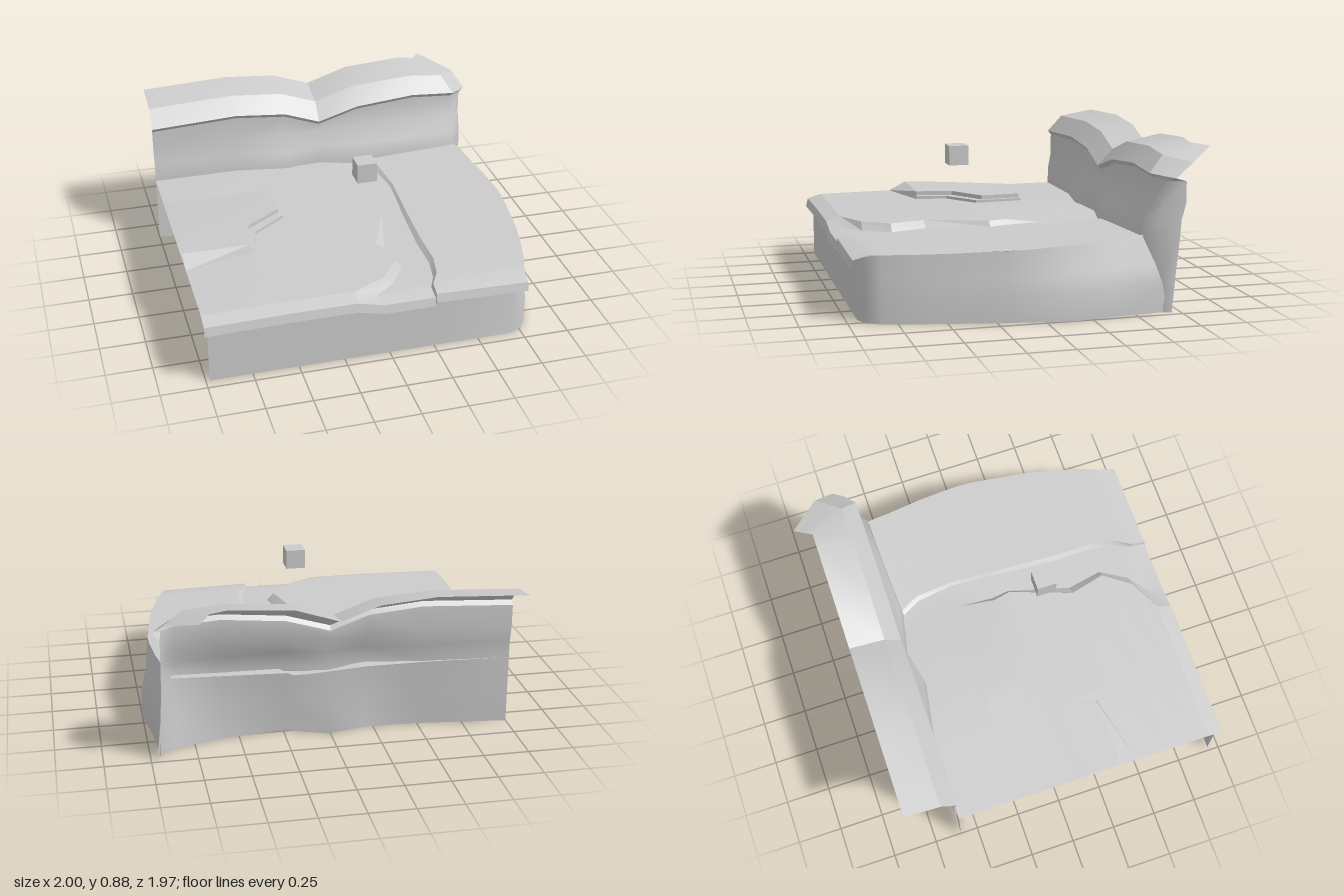
import * as THREE from 'three';
import { toCreasedNormals } from 'three/addons/utils/BufferGeometryUtils.js';

const material = new THREE.MeshStandardMaterial({ color: 0xcccccc, side: THREE.DoubleSide });

// Skins a sheet over rows of equal length, each row a list of [x, y, z]
function sheet(name, rows, crease) {
  const n = rows[0].length;
  const index = [];
  for (let r = 0; r < rows.length - 1; r++) {
    for (let c = 0; c < n - 1; c++) {
      const a = r * n + c, b = a + 1, d = a + n, e = d + 1;
      index.push(a, d, b, b, d, e);
    }
  }
  const geometry = new THREE.BufferGeometry();
  geometry.setAttribute('position', new THREE.Float32BufferAttribute(rows.flat(2), 3));
  geometry.setIndex(index);
  const mesh = new THREE.Mesh(toCreasedNormals(geometry, crease), material);
  mesh.name = name;
  return mesh;
}

// Lower plateau with a shallow channel running to the front
function lowerGround() {
  // z, left height, channel left top/bottom x, floor y, right bottom/top x, right y, edge x, edge y
  const sections = [
    [-0.6, 0.395, -0.2, 0.12, 0.375, 0.21, 0.24, 0.39, 0.87, 0.41],
    [-0.42, 0.395, 0.0, 0.2, 0.37, 0.31, 0.335, 0.388, 0.89, 0.399],
    [-0.2, 0.392, 0.08, 0.2, 0.37, 0.34, 0.355, 0.383, 0.92, 0.389],
    [0, 0.39, 0.165, 0.19, 0.362, 0.33, 0.345, 0.378, 0.935, 0.382],
    [0.1, 0.39, 0.185, 0.205, 0.358, 0.32, 0.34, 0.376, 0.935, 0.378],
    [0.45, 0.388, 0.06, 0.11, 0.35, 0.3, 0.325, 0.373, 0.89, 0.37],
    [0.65, 0.387, 0.11, 0.15, 0.345, 0.305, 0.33, 0.368, 0.845, 0.365],
    [0.8, 0.386, 0, 0.06, 0.342, 0.28, 0.3, 0.366, 0.805, 0.362],
    [0.89, 0.385, -0.18, -0.06, 0.342, 0.24, 0.25, 0.364, 0.77, 0.358],
    [0.97, 0.36, -0.19, -0.04, 0.325, 0.24, 0.245, 0.346, 0.76, 0.335],
  ];
  const rows = sections.map(([z, yl, xa, xb, yf, xc, xd, yr, xe, ye]) => [
    [-1, yl - 0.01, z], [-0.55, yl, z], [xa, yl, z], [xb, yf, z],
    [xc, yf, z], [xd, yr, z], [(xd + xe) / 2, (yr + ye) / 2, z], [xe, ye, z],
  ]);
  // Drooping front lip
  rows.push(rows.at(-1).map(([x, y, z]) => [x, y - 0.048, z + 0.012]));
  return sheet('lowerGround', rows, 0.25);
}

// Front cliff, turning the corner and flaring along the side: [topX, topZ, topY, bottomX, bottomZ]
function lowerCliff() {
  const path = [
    [-0.98, 0.94, 0.35, -0.98, 0.94], [-0.2, 0.94, 0.35, -0.2, 0.94],
    [-0.04, 0.94, 0.32, -0.04, 0.94], [0.24, 0.94, 0.32, 0.24, 0.94],
    [0.68, 0.94, 0.335, 0.69, 0.94], [0.745, 0.915, 0.345, 0.765, 0.905], [0.785, 0.83, 0.357, 0.81, 0.83],
    [0.835, 0.65, 0.364, 0.86, 0.62], [0.925, 0.2, 0.374, 0.945, 0.2],
    [0.92, -0.12, 0.385, 1, -0.15], [0.89, -0.4, 0.398, 0.965, -0.4],
    [0.87, -0.56, 0.41, 0.945, -0.68],
  ];
  const rows = [1, 0.62, 0.38, 0].map((t) => path.map(([tx, tz, ty, bx, bz]) => {
    const k = Math.max(0, (t - 0.38) / 0.62);
    return [bx + (tx - bx) * k, ty * t, bz + (tz - bz) * (0.35 * t + 0.65 * t * t)];
  }));
  return sheet('lowerCliff', rows, 1);
}

// Shared columns of the upper lip and back cliff
// x, lip front y, lip middle y, lip rear y, wall z at bottom, ground level and top
const columns = [
  [-1, 0.725, 0.82, 0.855, -0.6, -0.6, -0.62],
  [-0.5, 0.752, 0.845, 0.88, -0.54, -0.585, -0.62],
  [-0.2, 0.725, 0.82, 0.855, -0.53, -0.535, -0.62],
  [0.01, 0.65, 0.745, 0.78, -0.58, -0.58, -0.62],
  [0.25, 0.722, 0.82, 0.86, -0.49, -0.53, -0.62],
  [0.6, 0.755, 0.845, 0.885, -0.53, -0.545, -0.62],
  [0.85, 0.738, 0.825, 0.87, -0.6, -0.55, -0.62],
  [0.92, 0.73, 0.81, 0.862, -0.66, -0.625, -0.66],
  [0.935, 0.722, 0.795, 0.855, -0.7, -0.75, -0.78],
];

function backCliff() {
  const level = (y, z) => columns.map((c, i) => [
    c[0] + (i > 6 ? 0.03 * Math.max(0, 1 - y / 0.3) : 0), Math.min(y, c[1] - 0.024), z(c)]);
  const rows = [
    level(9, (c) => c[6]),
    level(0.58, (c) => c[6]),
    level(0.49, (c) => c[6] * 0.2 + c[5] * 0.8),
    level(0.4, (c) => c[5]),
    level(0.2, (c) => (c[4] + c[5]) / 2),
    level(0, (c) => c[4]),
  ];
  return sheet('backCliff', rows, 1);
}

function upperLip() {
  // The last columns turn backwards round the corner
  const row = (k, z, corner) => columns.map((c, i) => (
    i < 6 ? [c[0], c[k], z] : [corner[i - 6][0], c[k], corner[i - 6][1]]));
  const rows = [
    row(3, -0.89, [[0.69, -0.89], [0.72, -0.94], [0.75, -0.985]]),
    row(2, -0.69, [[0.81, -0.69], [0.865, -0.755], [0.92, -0.82]]),
    row(1, -0.6, [[0.86, -0.6], [0.925, -0.655], [0.965, -0.71]]),
    columns.map((c) => [c[0], c[1] - 0.024, c[6]]),
  ];
  return sheet('upperLip', rows, 0.3);
}

// Stepped rock shelf that sinks into the ground towards the rear left
function rockShelf() {
  // z, left y, top edge x, step edge x, step edge z
  const rows = [
    [-0.31, 0.388, -0.4, -0.375, -0.24], [0, 0.41, -0.39, -0.37, 0.04],
    [0.14, 0.42, -0.59, -0.56, 0.18], [0.35, 0.43, -0.63, -0.6, 0.35],
  ].map(([z, y, top, step, stepZ]) => [
    [-1, y, z], [top, 0.43, Math.max(z, -0.235)], [top, 0.406, Math.max(z, -0.235)],
    [step, 0.406, stepZ], [step, 0.38, stepZ],
  ]);
  rows.push([[-1, 0.38, 0.45], ...Array(4).fill([-0.6, 0.38, 0.36])]);
  return sheet('rockShelf', rows, 0.3);
}

export function createModel() {
  const model = new THREE.Group();
  model.add(lowerGround(), lowerCliff(), backCliff(), upperLip(), rockShelf());

  // Floating marker block
  const block = new THREE.Mesh(new THREE.BoxGeometry(0.11, 0.11, 0.11), material);
  block.name = 'floatingBlock';
  block.position.set(0.05, 0.755, 0.255);
  model.add(block);
  return model;
}
